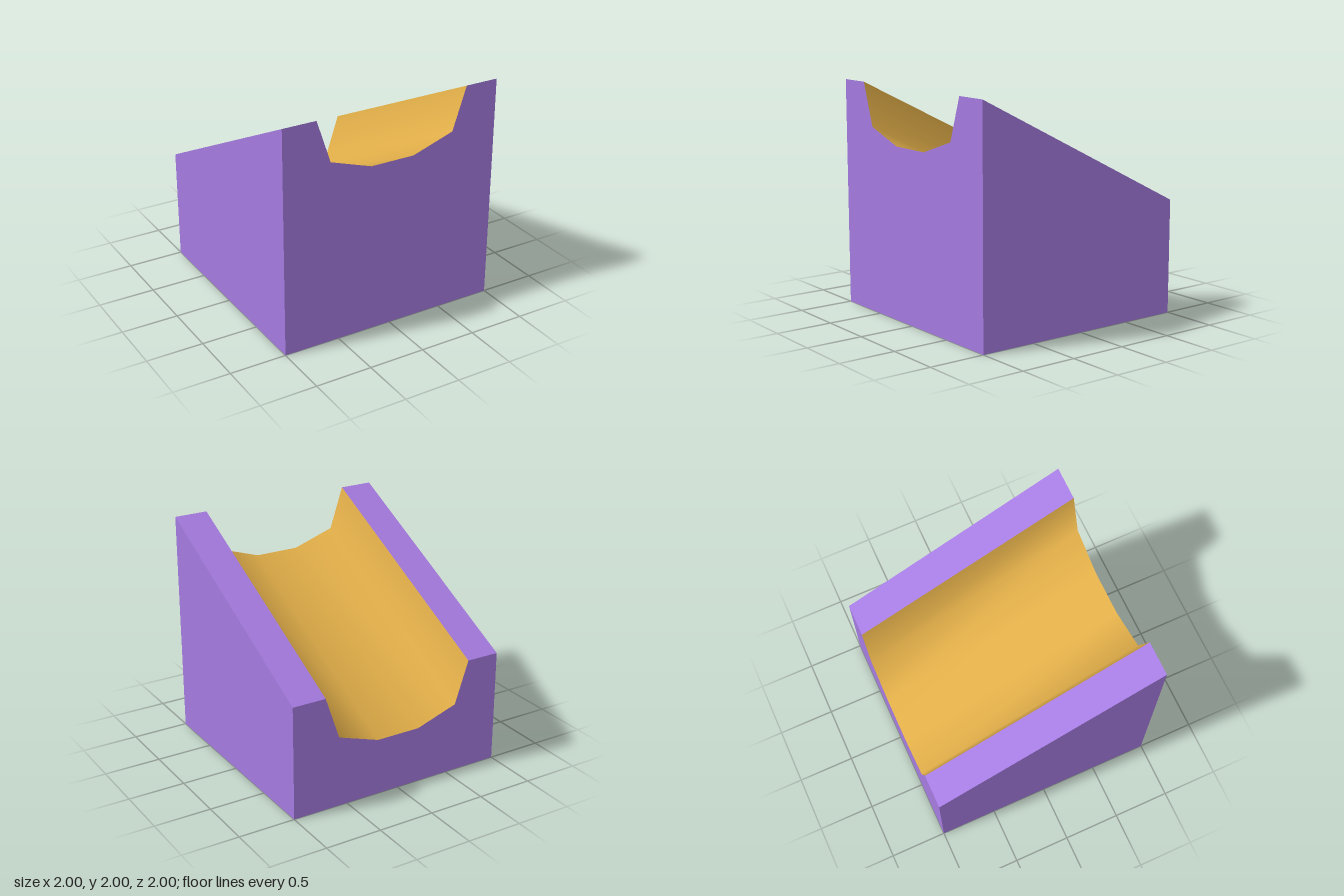
import * as THREE from 'three';

// Half of the groove cross-section at the high end, rim to floor
const HALF_GROOVE = [[0.7, 2], [0.575, 1.625], [0.2, 1.5]];
const DROP = 1; // how far the top falls from front to back

export function createModel() {
  const purple = new THREE.MeshStandardMaterial({ color: 0xa57be0 });
  purple.name = 'purple';
  const gold = new THREE.MeshStandardMaterial({ color: 0xe0ad48 });
  gold.name = 'gold';

  const model = new THREE.Group();
  model.name = 'grooveRamp';
  const add = (name, geometry, material) => {
    const mesh = new THREE.Mesh(geometry, material);
    mesh.name = name;
    model.add(mesh);
  };

  // Outline runs anticlockwise seen from the front
  const groove = [...HALF_GROOVE, ...HALF_GROOVE.map(([x, y]) => [-x, y]).reverse()];
  const outline = [[-1, 0], [1, 0], [1, 2], ...groove, [-1, 2]];
  const lower = ([x, y]) => [x, y > 0 ? y - DROP : 0];

  // Strip running from the front to the lowered back
  const strip = (points, smooth) => {
    const positions = [], index = [];
    points.forEach((p, i) => {
      positions.push(...p, 1, ...lower(p), -1);
      const a = 2 * i;
      if (i < points.length - 1) index.push(a, a + 1, a + 3, a, a + 3, a + 2);
    });
    let geometry = new THREE.BufferGeometry();
    geometry.setAttribute('position', new THREE.Float32BufferAttribute(positions, 3));
    geometry.setIndex(index);
    if (!smooth) geometry = geometry.toNonIndexed();
    geometry.computeVertexNormals();
    return geometry;
  };

  // End faces
  const cap = (points) =>
    new THREE.ShapeGeometry(new THREE.Shape(points.map((p) => new THREE.Vector2(...p))));
  add('frontFace', cap(outline).translate(0, 0, 1), purple);
  add('backFace', cap(outline.map(lower)).rotateY(Math.PI).translate(0, 0, -1), purple);

  // Base, sides and sloping rims
  add('shell', strip([[-0.7, 2], [-1, 2], [-1, 0], [1, 0], [1, 2], [0.7, 2]], false), purple);

  // Smooth-shaded groove
  add('groove', strip(groove, true), gold);

  return model;
}
